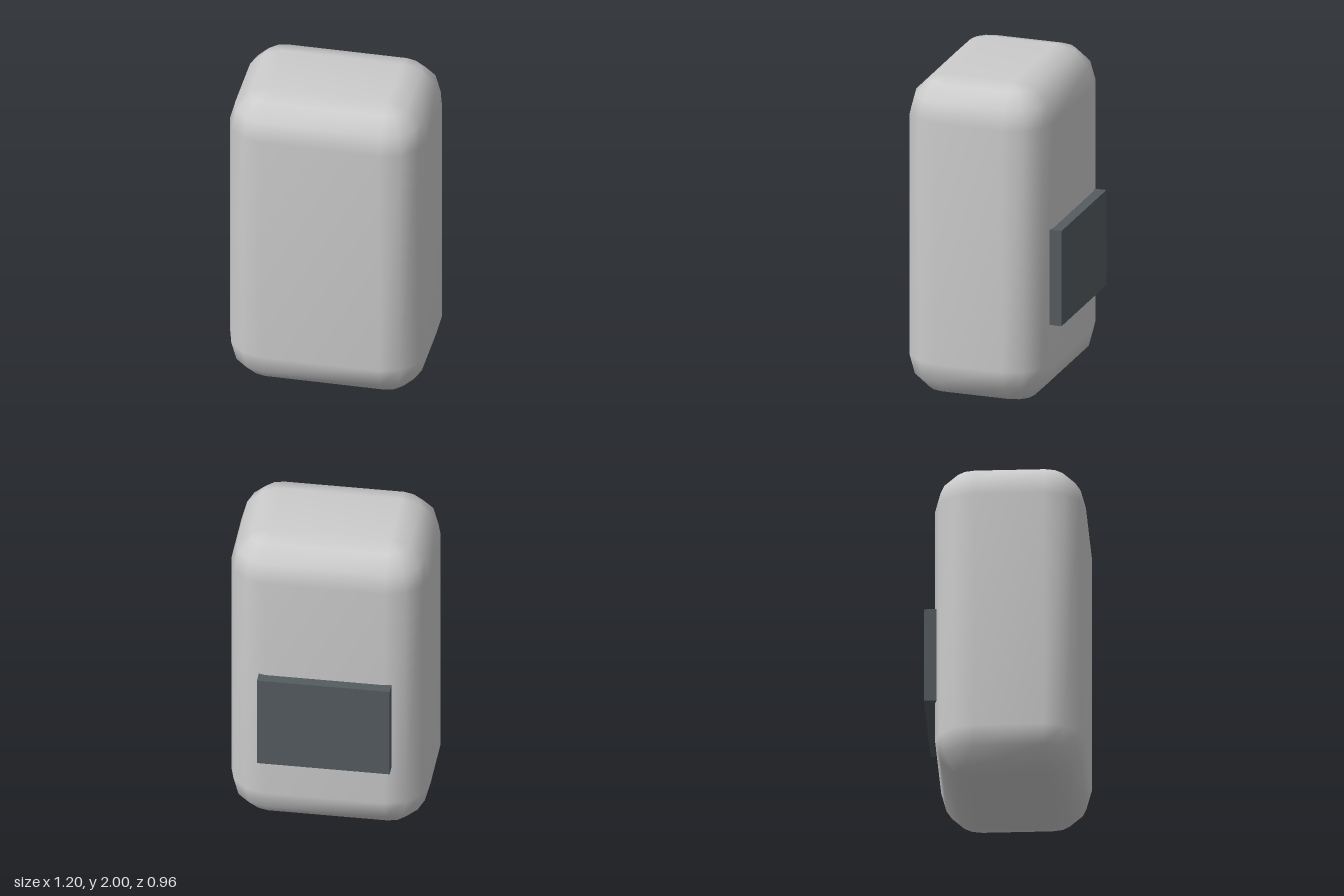
import * as THREE from 'three';
import { mergeVertices } from 'three/addons/utils/BufferGeometryUtils.js';

// Box with rounded edges, each edge an arc of a fixed number of segments
function roundedBox(w, h, d, r, segments) {
  const signs = [[1, 1], [-1, 1], [-1, -1], [1, -1]];
  const positions = [];
  const index = [];
  const perRing = 4 * (segments + 1);
  const rings = 2 * (segments + 1);

  // Horizontal rings from bottom to top
  for (let j = 0; j < rings; j++) {
    const upper = j > segments;
    const lat = ((upper ? j - segments - 1 : j - segments) / segments) * Math.PI / 2;
    const y = (upper ? 1 : -1) * (h / 2 - r) + r * Math.sin(lat);
    const reach = r * Math.cos(lat);
    signs.forEach(([sx, sz], corner) => {
      for (let i = 0; i <= segments; i++) {
        const a = (corner + i / segments) * Math.PI / 2;
        positions.push(
          sx * (w / 2 - r) + reach * Math.cos(a), y,
          sz * (d / 2 - r) + reach * Math.sin(a));
      }
    });
  }

  // Walls between the rings, leaving out collapsed triangles at the caps
  for (let j = 0; j < rings - 1; j++) {
    for (let i = 0; i < perRing; i++) {
      const n = (i + 1) % perRing;
      const a = j * perRing + i, b = j * perRing + n;
      const c = a + perRing, e = b + perRing;
      const inCorner = i % (segments + 1) < segments;
      if (!(inCorner && j === 0)) index.push(a, c, b);
      if (!(inCorner && j === rings - 2)) index.push(b, c, e);
    }
  }

  // Flat bottom and top
  const s = segments + 1;
  const t = (rings - 1) * perRing;
  index.push(0, s, 2 * s, 0, 2 * s, 3 * s);
  index.push(t, t + 2 * s, t + s, t, t + 3 * s, t + 2 * s);

  const geometry = new THREE.BufferGeometry();
  geometry.setAttribute('position', new THREE.Float32BufferAttribute(positions, 3));
  geometry.setIndex(index);
  const merged = mergeVertices(geometry, 1e-4);
  merged.computeVertexNormals();
  return merged;
}

export function createModel() {
  const group = new THREE.Group();
  const shell = new THREE.MeshStandardMaterial({ name: 'light grey', color: 0xcccccc });
  const dark = new THREE.MeshStandardMaterial({ name: 'slate grey', color: 0x555c60 });

  // Rounded main body
  const body = new THREE.Mesh(roundedBox(1.2, 2, 0.9, 0.24, 3), shell);
  body.name = 'body';
  body.position.set(0, 1, 0.0325);
  group.add(body);

  // Rectangular plate on the back
  const plate = new THREE.Mesh(new THREE.BoxGeometry(0.8, 0.6, 0.08), dark);
  plate.name = 'backPlate';
  plate.position.set(0, 0.8, -0.4425);
  group.add(plate);

  return group;
}
